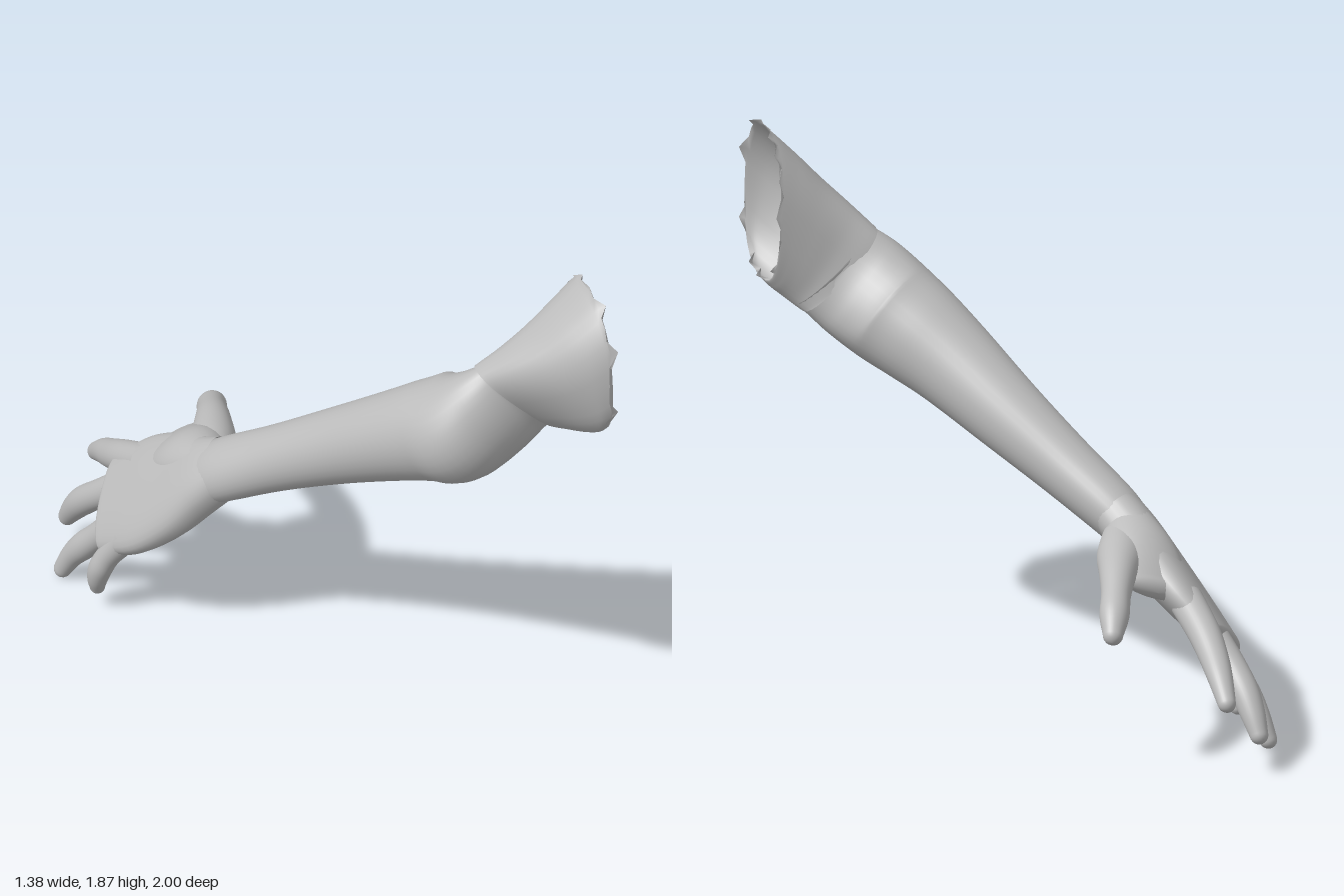
import * as THREE from 'three';

const V = (a) => new THREE.Vector3(a[0], a[1], a[2]);
const SEG = 32;

// Smooth interpolation of rows of numbers
function sampleRows(rows, t) {
  const f = t * (rows.length - 1);
  const i = Math.min(Math.floor(f), rows.length - 2);
  const s = f - i;
  const at = (k) => rows[Math.max(0, Math.min(rows.length - 1, k))];
  return rows[0].map((_, c) => {
    const p0 = at(i - 1)[c], p1 = at(i)[c], p2 = at(i + 1)[c], p3 = at(i + 2)[c];
    return p1 + 0.5 * s * (p2 - p0 + s * (2 * p0 - 5 * p1 + 4 * p2 - p3 + s * (3 * (p1 - p2) + p3 - p0)));
  });
}

// Skin over rounded sections; rows are [x, y, z, radius along u, radius along v]
function loft(rows, uRef, { steps = 24, cap = 0, normals = null, square = 1, jag = 0 } = {}) {
  const pos = [], index = [];
  let rings = 0;
  const ring = (c, u, v, ru, rv, n, ragged) => {
    for (let j = 0; j < SEG; j++) {
      const a = (j / SEG) * Math.PI * 2;
      const ca = Math.cos(a), sa = Math.sin(a);
      const x = Math.sign(ca) * Math.abs(ca) ** square, y = Math.sign(sa) * Math.abs(sa) ** square;
      const p = c.clone().addScaledVector(u, x * ru).addScaledVector(v, y * rv);
      if (ragged) p.addScaledVector(n, jag * (j % 2 ? -1 : Math.cos(j * 1.7)));
      pos.push(p.x, p.y, p.z);
    }
    rings++;
  };
  for (let i = 0; i <= steps; i++) {
    const t = i / steps;
    const r = sampleRows(rows, t);
    const n = normals
      ? V(normals[0]).lerp(V(normals[1]), t).normalize()
      : V(sampleRows(rows, Math.min(1, t + 0.02))).sub(V(sampleRows(rows, Math.max(0, t - 0.02)))).normalize();
    const u = V(uRef).addScaledVector(n, -V(uRef).dot(n)).normalize();
    const v = n.clone().cross(u);
    ring(V(r), u, v, r[3], r[4], n, jag && i === steps);
    if (cap && i === steps) {
      for (let k = 1; k <= 6; k++) {
        const a = (k / 6) * Math.PI * 0.5;
        const s = Math.max(0.001, Math.cos(a));
        ring(V(r).addScaledVector(n, cap * Math.sin(a)), u, v, r[3] * s, r[4] * s, n, false);
      }
    }
  }
  for (let i = 0; i < rings - 1; i++) {
    for (let j = 0; j < SEG; j++) {
      const k = (j + 1) % SEG;
      const a = i * SEG + j, b = i * SEG + k, c = a + SEG, d = b + SEG;
      index.push(a, b, c, b, d, c);
    }
  }
  const g = new THREE.BufferGeometry();
  g.setAttribute('position', new THREE.Float32BufferAttribute(pos, 3));
  g.setIndex(index);
  g.computeVertexNormals();
  return g;
}

export function createModel() {
  const model = new THREE.Group();
  const skin = new THREE.MeshStandardMaterial({ color: 0xbcbcbc, side: THREE.DoubleSide });
  skin.name = 'plain grey skin';
  const add = (name, geometry, parent = model) => {
    const m = new THREE.Mesh(geometry, skin);
    m.name = name;
    parent.add(m);
  };
  const across = [0.7, -0.72, 0];
  const palmFacing = [0.8, -0.6, 0.09];

  // Forearm from the wrist to the bent elbow
  add('forearm', loft([
    [-0.32, 0.67, -0.21, 0.085, 0.11],
    [-0.28, 0.72, -0.15, 0.095, 0.115],
    [-0.16, 0.835, 0.0, 0.108, 0.115],
    [-0.02, 0.97, 0.18, 0.13, 0.13],
    [0.11, 1.1, 0.36, 0.155, 0.152],
    [0.2, 1.18, 0.475, 0.175, 0.172],
    [0.275, 1.24, 0.568, 0.188, 0.19],
    [0.36, 1.315, 0.622, 0.192, 0.136],
    [0.43, 1.375, 0.645, 0.184, 0.094],
    [0.45, 1.395, 0.65, 0.184, 0.094],
  ], across, { steps: 54 }));

  // Open sleeve of the upper arm with a ragged edge
  add('upperArm', loft([
    [0.435, 1.38, 0.648, 0.187, 0.096],
    [0.49, 1.43, 0.7, 0.195, 0.13],
    [0.55, 1.485, 0.745, 0.21, 0.169],
    [0.61, 1.545, 0.776, 0.238, 0.197],
    [0.665, 1.602, 0.79, 0.268, 0.21],
  ], across, { normals: [[0.72, 0.7, 0], [1, 0, 0]], square: 0.8, jag: 0.018 }));

  // Hand
  const hand = new THREE.Group();
  hand.name = 'hand';
  model.add(hand);
  add('palm', loft([
    [-0.29, 0.715, -0.165, 0.085, 0.108],
    [-0.335, 0.65, -0.23, 0.09, 0.14],
    [-0.395, 0.555, -0.33, 0.085, 0.192],
    [-0.468, 0.452, -0.45, 0.07, 0.214],
    [-0.538, 0.357, -0.57, 0.05, 0.18],
  ], palmFacing, { cap: 0.03, square: 0.85 }), hand);

  // Ball of the thumb, thinning into the web beside the first finger
  add('thumbWeb', loft([
    [-0.315, 0.68, -0.23, 0.085, 0.085],
    [-0.32, 0.63, -0.36, 0.125, 0.095],
    [-0.322, 0.59, -0.46, 0.135, 0.075],
    [-0.318, 0.562, -0.545, 0.125, 0.04],
  ], [0.8, 0.42, 0.3], { cap: 0.035 }), hand);

  // Thumb and fingers, swelling at the joints: rows are [x, y, z, radius]
  const digits = {
    thumb: [
      [-0.29, 0.65, -0.27, 0.075], [-0.235, 0.63, -0.41, 0.083], [-0.185, 0.62, -0.54, 0.065],
      [-0.145, 0.585, -0.65, 0.052], [-0.115, 0.54, -0.73, 0.052], [-0.092, 0.495, -0.79, 0.036],
    ],
    indexFinger: [
      [-0.42, 0.51, -0.55, 0.062], [-0.44, 0.44, -0.69, 0.058], [-0.445, 0.385, -0.79, 0.052],
      [-0.442, 0.335, -0.88, 0.044], [-0.438, 0.275, -0.967, 0.032],
    ],
    middleFinger: [
      [-0.48, 0.42, -0.57, 0.06], [-0.535, 0.32, -0.68, 0.051], [-0.562, 0.24, -0.765, 0.051],
      [-0.575, 0.175, -0.82, 0.044], [-0.583, 0.115, -0.862, 0.033],
    ],
    ringFinger: [
      [-0.535, 0.36, -0.47, 0.058], [-0.59, 0.245, -0.555, 0.048], [-0.62, 0.17, -0.615, 0.049],
      [-0.645, 0.105, -0.66, 0.041], [-0.667, 0.035, -0.692, 0.032],
    ],
    littleFinger: [
      [-0.555, 0.35, -0.38, 0.052], [-0.6, 0.255, -0.43, 0.043], [-0.622, 0.19, -0.455, 0.043],
      [-0.627, 0.135, -0.473, 0.037], [-0.622, 0.09, -0.488, 0.028],
    ],
  };
  for (const [name, path] of Object.entries(digits)) {
    const rows = path.map(([x, y, z, r]) => [x, y, z, r * 0.96, r]);
    add(name, loft(rows, palmFacing, { cap: path[path.length - 1][3] }), hand);
  }
  return model;
}
